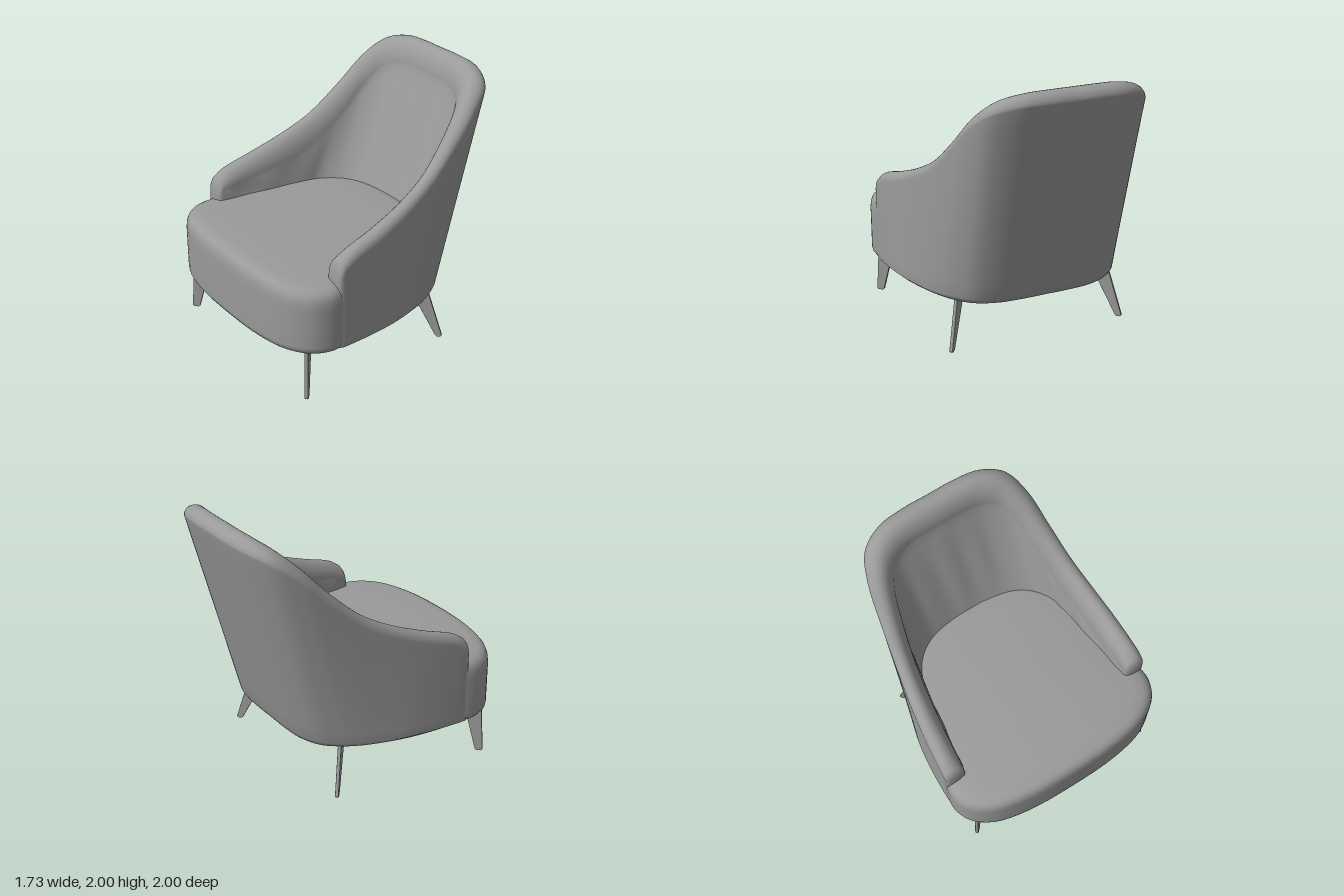
import * as THREE from 'three';
import { mergeVertices } from 'three/addons/utils/BufferGeometryUtils.js';

const V = (x, y, z) => new THREE.Vector3(x, y, z);
const FLOOR = 0.36; // underside of the upholstery

// Smooth skin over rows of points
function skin(rows) {
  const n = rows[0].length, pos = [], index = [];
  rows.forEach(r => r.forEach(p => pos.push(p.x, p.y, p.z)));
  for (let i = 0; i < rows.length - 1; i++) {
    for (let j = 0; j < n - 1; j++) {
      const a = i * n + j, b = a + n;
      index.push(a, b, b + 1, a, b + 1, a + 1);
    }
  }
  let g = new THREE.BufferGeometry();
  g.setAttribute('position', new THREE.Float32BufferAttribute(pos, 3));
  g.setIndex(index);
  g = mergeVertices(g, 1e-5);
  g.computeVertexNormals();
  return g;
}

// Half a track, from the left arm front to the back centre, mirrored to a full U
function track(half) {
  const other = half.slice(0, -1).reverse().map(p => V(-p.x, p.y, p.z));
  return new THREE.CatmullRomCurve3([...half, ...other]);
}

// Wrap-around shell: arms rising into the leaning back
function shellGeometry() {
  // outer x, z at the foot
  const foot = [[.86, .57], [.86, .5], [.85, .3], [.825, .1], [.78, -.08], [.725, -.24],
    [.655, -.37], [.55, -.49], [.39, -.56], [.2, -.58], [0, -.58]];
  // outer x, crest height, z at the rim
  const rim = [[.86, 1.04, .57], [.857, 1.09, .5], [.837, 1.175, .25], [.802, 1.27, 0],
    [.757, 1.4, -.25], [.71, 1.61, -.5], [.66, 1.82, -.72], [.575, 1.94, -.885],
    [.41, 1.99, -.975], [.2, 2, -1], [0, 2, -1]];
  // inner x, z under the rim
  const lip = [[.70, .57], [.695, .48], [.67, .22], [.64, -.02], [.605, -.25], [.555, -.47],
    [.5, -.64], [.42, -.74], [.29, -.79], [.15, -.8], [0, -.8]];
  // inner x, z at the seat
  const well = [[.69, .57], [.675, .45], [.645, .25], [.62, .05], [.6, -.1], [.57, -.22],
    [.49, -.33], [.39, -.4], [.27, -.44], [.13, -.46], [0, -.465]];
  const A = track(foot.map(p => V(p[0], FLOOR, p[1])));
  const B = track(rim.map(p => V(...p)));
  const C = track(lip.map((p, i) => V(p[0], rim[i][1], p[1])));
  const D = track(well.map(p => V(p[0], 0.84, p[1])));

  const rows = [], N = 120;
  for (let i = 0; i <= N; i++) {
    const t = i / N;
    const a = A.getPoint(t), b = B.getPoint(t), c = C.getPoint(t), d = D.getPoint(t);
    const crest = b.y, middle = b.clone().lerp(c, 0.42);
    const drop = 0.08, innerDrop = Math.min(0.2, (crest - 0.84) * 0.45);
    b.y = crest - drop;
    c.y = crest - innerDrop;
    const row = [];
    // rounded foot
    for (const [s, y] of [[.8, .36], [.94, .36], [.97, .366], [.99, .382]]) {
      row.push(V(a.x * s, y, (a.z - 0.1) * s + 0.1));
    }
    // outer wall
    for (let k = 0; k <= 12; k++) row.push(a.clone().lerp(b, 0.035 + 0.965 * k / 12));
    // rim: tight outer curve, then a long soft roll inward
    for (let k = 1; k <= 7; k++) {
      const w = Math.PI / 2 * k / 7, p = b.clone().lerp(middle, 1 - Math.cos(w));
      p.y = crest - drop * (1 - Math.sin(w));
      row.push(p);
    }
    for (let k = 1; k < 9; k++) {
      const w = Math.PI / 2 * k / 9, p = middle.clone().lerp(c, Math.sin(w));
      p.y = crest - innerDrop * (1 - Math.cos(w));
      row.push(p);
    }
    // inner wall with faint upholstery folds
    for (let k = 0; k <= 14; k++) {
      const s = k / 14, p = c.clone().lerp(d, s);
      const fold = 0.005 * Math.sin(t * 75 + s * 2) * Math.sin(Math.PI * s);
      p.x += Math.sign(p.x) * Math.min(1, Math.abs(p.x) * 3) * fold;
      p.z += fold;
      row.push(p);
    }
    rows.push(row);
  }

  // rounded arm fronts
  const cap = (row, s, k, dz) => row.map(p => {
    const cx = Math.sign(p.x) * 0.78;
    return V(cx + (p.x - cx) * s, FLOOR + (p.y - FLOOR) * k, 0.57 + dz);
  });
  const steps = [[.95, .965, .016], [.82, .915, .027], [.5, .85, .033], [0, .78, .035]];
  const first = rows[0], last = rows[N];
  for (const s of steps) {
    rows.unshift(cap(first, ...s));
    rows.push(cap(last, ...s));
  }
  return skin(rows);
}

// Seat block: one outline stacked at several levels, domed on top
function seatGeometry() {
  const half = [[.4, .982], [.66, .92], [.81, .81], [.865, .68], [.86, .58], [.84, .5],
    [.82, .25], [.79, .08], [.75, -.1], [.69, -.23], [.62, -.34], [.5, -.46], [.34, -.52]];
  const outline = new THREE.CatmullRomCurve3([
    V(0, 0, 1), ...half.map(p => V(p[0], 0, p[1])), V(0, 0, -.54),
    ...half.slice().reverse().map(p => V(-p[0], 0, p[1]))], true);
  // scale, height
  const levels = [[0, .362], [.5, .362], [.91, .362], [.945, .365], [.975, .377], [.994, .4], [1, .43],
    [1, .6], [1, .72], [1, .78], [.995, .825], [.982, .857], [.96, .88], [.925, .896], [.85, .906],
    [.6, .91], [.3, .912], [0, .912]];
  const rows = [], N = 112;
  for (let i = 0; i <= N; i++) {
    const p = outline.getPoint(i / N);
    rows.push(levels.map(([s, y]) => {
      const x = p.x * s;
      const drop = y > 0.7 ? 0.04 * (x / 0.86) ** 2 : 0;
      return V(x, y - drop, 0.2 + (p.z - 0.2) * s);
    }));
  }
  return skin(rows);
}

// Flat tapered blade leg, leaning outward along its own x axis
function legGeometry(shift, topHalf, footHalf) {
  const s = new THREE.Shape();
  s.moveTo(-topHalf, 0.38);
  s.lineTo(shift - footHalf, 0.012);
  s.lineTo(shift - footHalf + 0.012, 0);
  s.lineTo(shift + footHalf - 0.012, 0);
  s.lineTo(shift + footHalf, 0.012);
  s.lineTo(topHalf, 0.38);
  const g = new THREE.ExtrudeGeometry(s, {
    depth: 0.016, bevelThickness: 0.005, bevelSize: 0.004, bevelOffset: -0.004, bevelSegments: 2 });
  g.translate(0, 0, -0.008);
  return g;
}

export function createModel() {
  const chair = new THREE.Group();
  chair.name = 'armchair';
  const material = new THREE.MeshStandardMaterial({ color: 0x9a9a9a });
  const add = (name, geometry) => {
    const mesh = new THREE.Mesh(geometry, material);
    mesh.name = name;
    chair.add(mesh);
    return mesh;
  };

  add('backAndArms', shellGeometry());
  add('seat', seatGeometry());

  // four legs splayed toward the corners
  const front = legGeometry(0.06, 0.065, 0.03);
  const rear = legGeometry(0.152, 0.065, 0.026);
  for (const side of [1, -1]) {
    const label = side > 0 ? 'Left' : 'Right';
    const f = add('front' + label + 'Leg', front);
    f.position.set(side * 0.715, 0, 0.775);
    f.rotation.y = Math.atan2(-1, side);
    const r = add('rear' + label + 'Leg', rear);
    r.position.set(side * 0.58, 0, -0.33);
    r.rotation.y = Math.atan2(1, side);
  }
  return chair;
}
